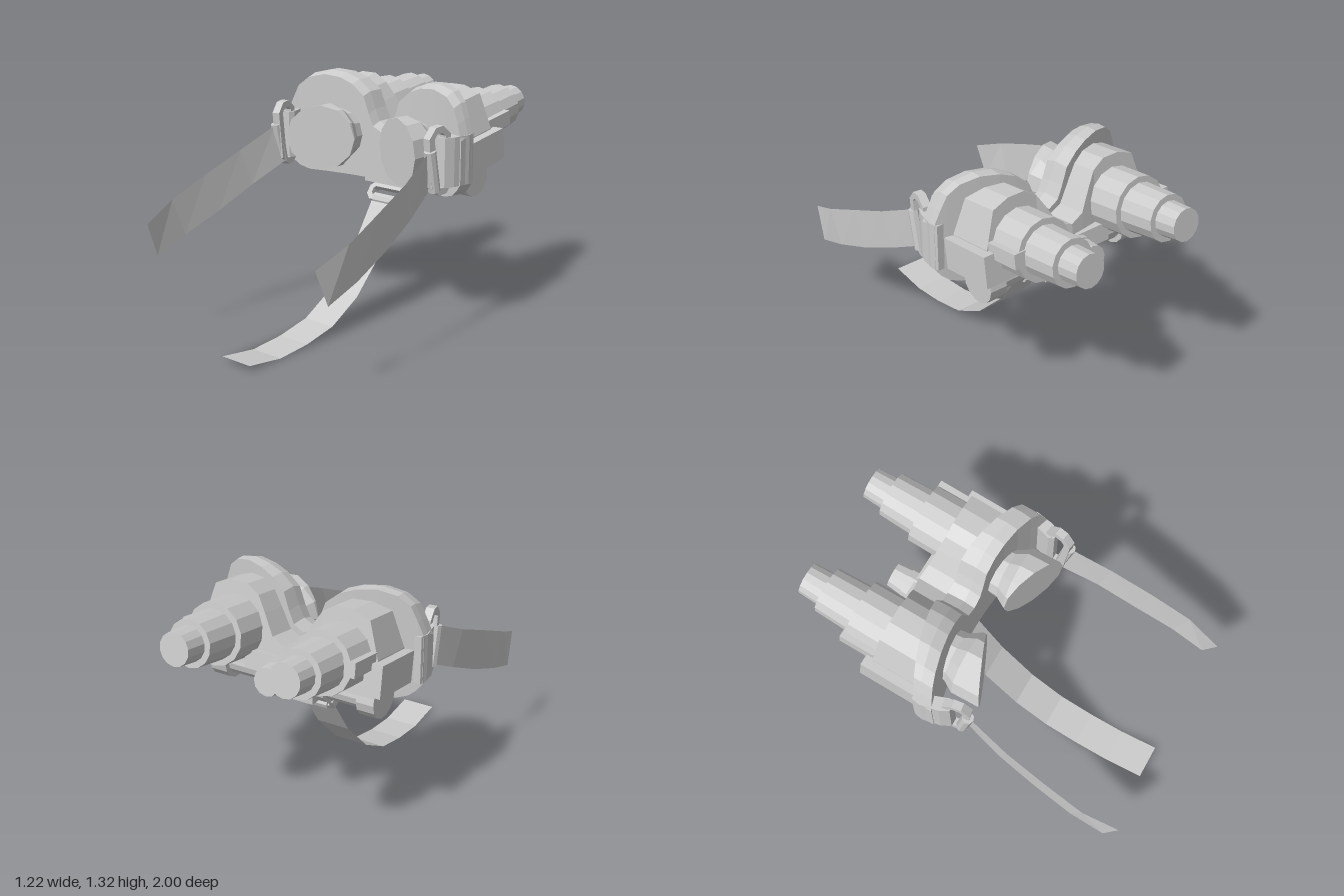
import * as THREE from 'three';

const grey = new THREE.MeshStandardMaterial({ color: 0xcccccc, flatShading: true });
const fabric = new THREE.MeshStandardMaterial({ color: 0xcccccc, flatShading: true, side: THREE.DoubleSide });

function add(parent, name, geometry, x = 0, y = 0, z = 0, material = grey) {
  const mesh = new THREE.Mesh(geometry, material);
  mesh.name = name;
  mesh.position.set(x, y, z);
  parent.add(mesh);
  return mesh;
}

// Skin a row of equal-length cross-sections; closed rings also get end caps.
function loft(rings, closed = true) {
  const n = rings[0].length, index = [];
  for (let i = 0; i < rings.length - 1; i++) {
    for (let j = 0; j < (closed ? n : n - 1); j++) {
      const k = (j + 1) % n;
      const a = i * n + j, b = i * n + k, c = b + n, d = a + n;
      index.push(a, d, c, a, c, b);
    }
  }
  const last = (rings.length - 1) * n;
  if (closed) for (let j = 1; j < n - 1; j++) index.push(0, j, j + 1, last, last + j + 1, last + j);
  const g = new THREE.BufferGeometry();
  g.setAttribute('position', new THREE.Float32BufferAttribute(rings.flat(2), 3));
  g.setIndex(index);
  const flat = g.toNonIndexed();
  flat.computeVertexNormals();
  return flat;
}

// Mirror a half profile given from the middle outwards.
const mirrored = half => [
  ...half.slice(1).reverse().map(([x, ...r]) => [-x, ...r]),
  ...half,
];

// Cylinder pointing to -z, starting at z = 0.
function barrel(r0, r1, length, sides = 14) {
  return new THREE.CylinderGeometry(r1, r0, length, sides).rotateX(-Math.PI / 2).translate(0, 0, -length / 2);
}

// Bevelled rectangular ring facing z.
function buckleRing(w, h, bar, depth, cut) {
  const corners = (a, b, c) => [
    [-a + c, -b], [a - c, -b], [a, -b + c], [a, b - c],
    [a - c, b], [-a + c, b], [-a, b - c], [-a, -b + c],
  ].map(p => new THREE.Vector2(...p));
  const shape = new THREE.Shape(corners(w / 2, h / 2, cut));
  shape.holes.push(new THREE.Path(corners(w / 2 - bar, h / 2 - bar, cut * 0.4)));
  return new THREE.ExtrudeGeometry(shape, { depth, bevelEnabled: false }).translate(0, 0, -depth / 2);
}

export function createModel() {
  const model = new THREE.Group();
  model.name = 'binocularGoggles';

  // Curved face plate: x, top, bottom
  const plate = mirrored([
    [0, 1.035, 0.74], [0.06, 1.065, 0.74], [0.09, 1.13, 0.74], [0.125, 1.225, 0.74],
    [0.2, 1.285, 0.74], [0.28, 1.315, 0.74], [0.38, 1.325, 0.74], [0.48, 1.30, 0.74],
    [0.54, 1.25, 0.76], [0.575, 1.17, 0.79], [0.605, 1.09, 0.83],
  ]);
  add(model, 'facePlate', loft(plate.map(([x, top, bottom]) => {
    const u = Math.abs(x) / 0.6;
    const front = -0.185 + 0.1 * u * u, back = -0.345 + 0.16 * u ** 1.5;
    return [
      [x, bottom + 0.01, front], [x, top - 0.02, front],
      [x, top, front - 0.06], [x, top, back], [x, bottom, back],
    ];
  })));

  // Optics share a slight upward tilt
  const optics = new THREE.Group();
  optics.name = 'optics';
  optics.position.y = 0.985;
  optics.rotation.x = 0.14;
  model.add(optics);

  // Twin-lobed housing: x, top, rear z
  const lobes = mirrored([
    [0, -0.03, -0.52], [0.08, 0.0, -0.51], [0.14, 0.11, -0.5], [0.19, 0.19, -0.49],
    [0.26, 0.235, -0.49], [0.36, 0.235, -0.49], [0.455, 0.2, -0.49], [0.515, 0.01, -0.49],
  ]);
  add(optics, 'housing', loft(lobes.map(([x, top, back]) => [
    [x, -0.19, -0.21], [x, top, -0.21], [x, top, back], [x, -0.19, back],
  ])));
  add(optics, 'housingLip', new THREE.BoxGeometry(0.44, 0.1, 0.3), 0, -0.14, -0.39);

  // Focus knob on the middle of the housing
  add(optics, 'focusKnobBase', barrel(0.095, 0.092, 0.12, 12), 0, -0.18, -0.46);
  add(optics, 'focusKnob', barrel(0.085, 0.075, 0.09, 12), 0, -0.18, -0.575);

  for (const s of [1, -1]) {
    const side = s > 0 ? 'left' : 'right';

    // Stepped objective tube
    const tube = new THREE.Group();
    tube.name = side + 'Tube';
    tube.position.x = 0.315 * s;
    optics.add(tube);
    add(tube, 'tubeBase', barrel(0.168, 0.165, 0.22), 0, 0, -0.46);
    add(tube, 'tubeMiddle', barrel(0.133, 0.125, 0.21), 0, 0, -0.67);
    add(tube, 'tubeEnd', barrel(0.093, 0.087, 0.13), 0, 0, -0.87);

    // Side boxes
    add(optics, side + 'SideBox', new THREE.BoxGeometry(0.1, 0.17, 0.32), 0.515 * s, -0.08, -0.37);
    add(optics, side + 'TubeSwitch', new THREE.BoxGeometry(0.09, 0.08, 0.2), 0.46 * s, 0.01, -0.59);

    // Flared eyecup with a slanted front
    const cupRing = (r, zAt) => Array.from({ length: 12 }, (_, i) => {
      const a = (i / 12) * Math.PI * 2;
      const dx = r * Math.cos(a);
      return [0.268 * s + dx, 0.985 - r * Math.sin(a), zAt(dx * s)];
    });
    add(model, side + 'Eyecup', loft([
      cupRing(0.13, () => -0.24), cupRing(0.14, () => -0.13),
      cupRing(0.18, () => -0.065), cupRing(0.18, dx => 0.018 + 0.43 * dx),
    ]));

    // Battery tube with end knob below the housing
    const battery = (name, r, w, x) =>
      add(model, side + name, new THREE.CylinderGeometry(r, r, w, 14).rotateZ(Math.PI / 2), x * s, 0.81, -0.38);
    battery('BatteryTube', 0.08, 0.28, 0.28);
    battery('BatteryKnob', 0.108, 0.1, 0.445);
    battery('BatteryCollar', 0.1, 0.05, 0.17);

    // Folded tab wrapped from the plate to the strap ring
    const fold = new THREE.Shape([
      [0.6, 0.2], [0.61, 0.15], [0.59, 0.05], [0.565, 0], [0.52, 0], [0.505, 0.03], [0.53, 0.1], [0.55, 0.2],
    ].map(([x, y]) => new THREE.Vector2(x * s, y)));
    const tab = new THREE.ExtrudeGeometry(fold, { depth: 0.26, bevelEnabled: false });
    add(model, side + 'StrapTab', tab.rotateX(-Math.PI / 2), 0, 0.835, 0);

    const ring = add(model, side + 'StrapRing', buckleRing(0.15, 0.36, 0.036, 0.045, 0.05).rotateY(Math.PI / 2), 0.535 * s, 0.98, 0.015);
    ring.rotation.set(0.1, -0.15 * s, 0);
    const loop = new THREE.CylinderGeometry(0.032, 0.032, 0.22, 8);
    add(model, side + 'StrapLoop', loop, 0.535 * s, 0.93, 0.065).rotation.x = 0.2;

    // Side strap: top edge and bottom edge points
    const strap = [
      [[0.535, 1.03, 0.1], [0.51, 0.82, 0.06]],
      [[0.575, 0.925, 0.33], [0.555, 0.72, 0.27]],
      [[0.598, 0.83, 0.57], [0.58, 0.615, 0.5]],
      [[0.612, 0.735, 0.8], [0.6, 0.53, 0.73]],
      [[0.58, 0.65, 1.0], [0.595, 0.462, 0.93]],
    ].map(pair => pair.map(([x, y, z]) => [x * s, y, z]));
    add(model, side + 'SideStrap', loft(strap, false), 0, 0, 0, fabric);
  }

  // Mounting block under the housing
  add(model, 'chinBlock', new THREE.BoxGeometry(0.3, 0.16, 0.24), 0, 0.81, -0.38);
  add(model, 'chinPlate', new THREE.BoxGeometry(0.33, 0.05, 0.12), 0, 0.735, -0.3);

  // Lower buckle and its link
  add(model, 'chinRing', buckleRing(0.3, 0.11, 0.03, 0.045, 0.03), 0, 0.645, -0.275).rotation.x = -0.66;
  add(model, 'chinLink', new THREE.BoxGeometry(0.22, 0.06, 0.035), 0, 0.695, -0.305).rotation.x = -0.5;
  add(model, 'chinLoop', new THREE.CylinderGeometry(0.033, 0.033, 0.2, 8).rotateZ(Math.PI / 2), 0, 0.615, -0.255);

  // Lower strap: z and y along its length
  const path = [[-0.23, 0.61], [-0.07, 0.37], [0.13, 0.17], [0.33, 0.06], [0.53, 0.02], [0.73, 0.005], [0.95, 0.035]];
  add(model, 'lowerStrap', loft(path.map(([z, y]) => [[-0.104, y, z], [0.09, y, z]]), false), 0, 0, 0, fabric);

  return model;
}
